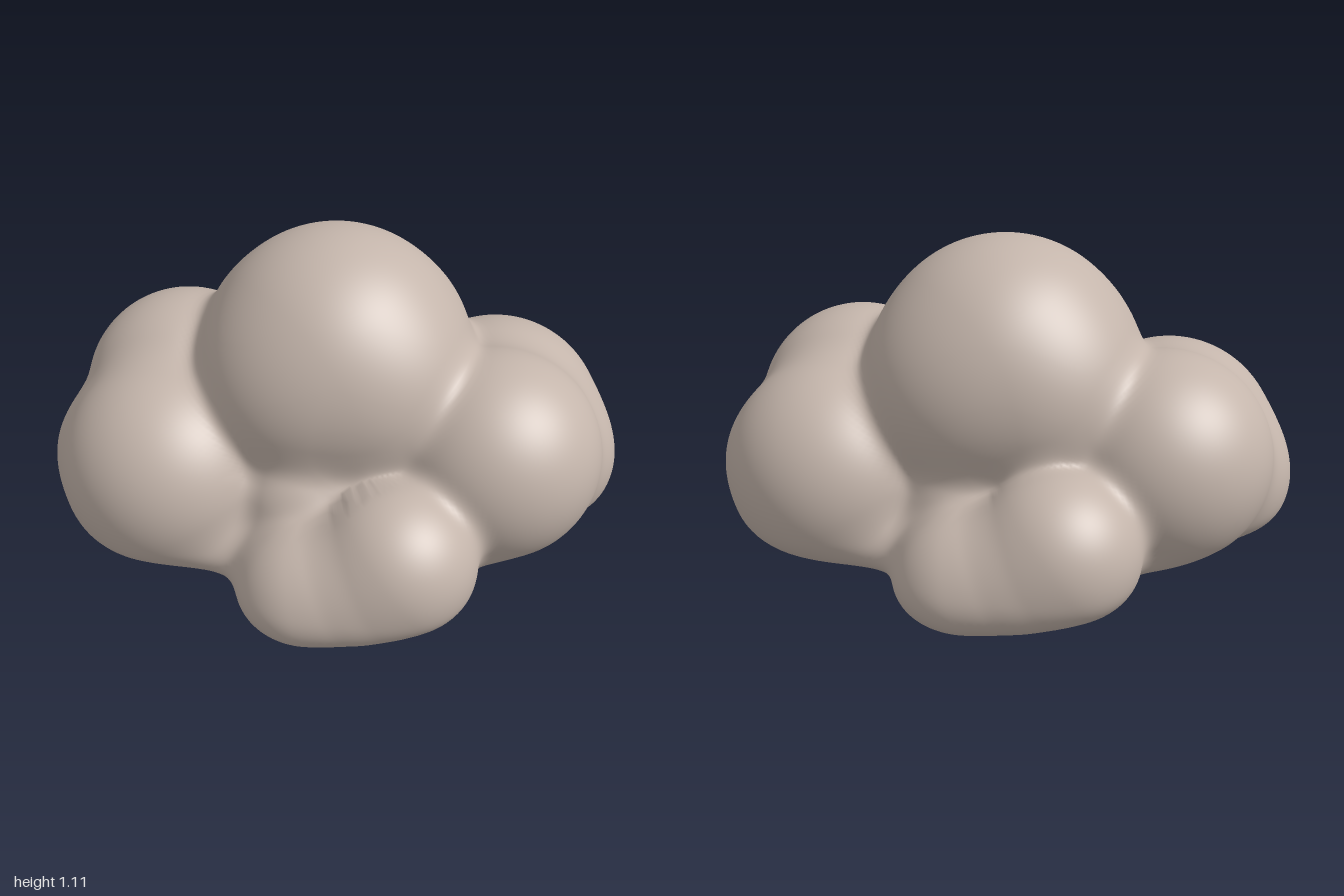
import * as THREE from 'three';
import { mergeVertices } from 'three/addons/utils/BufferGeometryUtils.js';

// Puffs of one half: x, y, z, radius. The other half is turned 180 degrees about y.
const halfPuffs = [
  [0.54, 0.41, 0.185, 0.365],  // tall side puff
  [0.58, 0.315, -0.125, 0.38], // wide side puff
  [0.725, 0.265, 0, 0.275],    // low outer puff
  [0.2, 0.24, 0.535, 0.27],    // large end puff
  [-0.08, 0.105, 0.54, 0.26],  // small end puff
  [0.07, 0.15, 0.57, 0.23],    // filling between the end puffs
  [-0.12, 0.29, 0.25, 0.23],   // shoulder above the small end puff
];
const puffs = [
  [0, 0.3, 0, 0.42],           // core
  ...halfPuffs,
  ...halfPuffs.map(([x, y, z, r]) => [-x, y, -z, r]),
  [0, 0.665, -0.04, 0.452],    // crown
];
// Fuller lower corners of the crown
for (const x of [-0.12, 0.12]) {
  puffs.push([x, 0.62, -0.13, 0.345], [x, 0.62, 0.05, 0.345]);
}

// Smooth minimum, for soft creases
function smin(a, b, k) {
  const h = Math.max(k - Math.abs(a - b), 0) / k;
  return Math.min(a, b) - h * h * k * 0.25;
}

// Flat oval that fills the gaps between the puffs near the ground
function baseField(x, y, z) {
  const [a, b, c] = [0.8, 0.21, 0.56];
  const scaled = Math.hypot(x / a, y / b, z / c);
  const slope = Math.hypot(x / (a * a), y / (b * b), z / (c * c));
  return scaled * (scaled - 1) / Math.max(slope, 1e-6);
}

// Distance to the blended puffs, cut softly by the ground plane
function field(p) {
  let d = 10;
  for (const [x, y, z, r] of puffs) {
    d = smin(d, Math.hypot(p.x - x, p.y - y, p.z - z) - r, 0.07);
  }
  d = smin(d, baseField(p.x, p.y - 0.13, p.z), 0.1);
  return -smin(-d, p.y, 0.2);
}

export function createModel() {
  const group = new THREE.Group();
  group.name = 'cloud';
  const cloudGrey = new THREE.MeshStandardMaterial({ color: 0xc4b5ab });
  cloudGrey.name = 'warm cloud grey';

  // Shrink a sphere inwards along its rays until it meets the puffs
  let geometry = new THREE.IcosahedronGeometry(1, 56);
  geometry.deleteAttribute('uv');
  geometry.deleteAttribute('normal');
  geometry = mergeVertices(geometry, 1e-5);
  const pos = geometry.attributes.position;
  const centre = new THREE.Vector3(0, 0.28, 0);
  const dir = new THREE.Vector3();
  const p = new THREE.Vector3();
  for (let i = 0; i < pos.count; i++) {
    dir.fromBufferAttribute(pos, i).normalize();
    let t = 1.4;
    for (let step = 0; step < 150; step++) {
      const d = field(p.copy(centre).addScaledVector(dir, t));
      if (d < 0.0002) break;
      t -= d * 0.8;
    }
    pos.setXYZ(i, p.x, p.y, p.z);
  }
  geometry.computeVertexNormals();

  const body = new THREE.Mesh(geometry, cloudGrey);
  body.name = 'cloudBody';
  group.add(body);
  return group;
}
